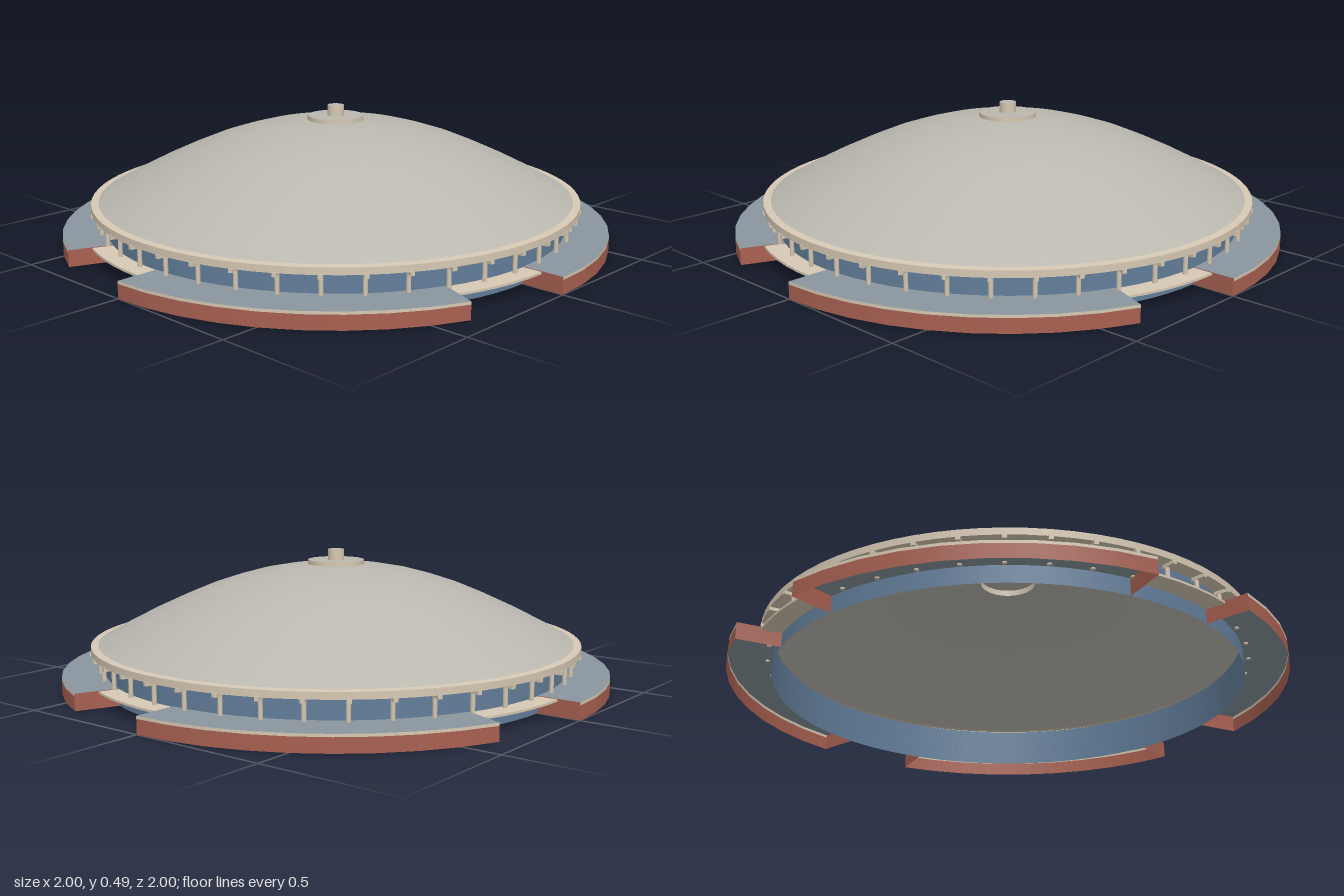
import * as THREE from 'three';

const mat = (name, color) =>
  new THREE.MeshStandardMaterial({ name, color, side: THREE.DoubleSide });

export function createModel() {
  const domeGrey = mat('dome grey', 0xb9b7ae);
  const roofGrey = mat('slate roof', 0x89959e);
  const wallBlue = mat('blue glazing', 0x627e9a);
  const brick = mat('brick red', 0xa86051);
  const cream = mat('cream concrete', 0xd6c8b3);

  const model = new THREE.Group();
  model.name = 'domedArena';

  const add = (name, geometry, material, parent = model) => {
    const mesh = new THREE.Mesh(geometry, material);
    mesh.name = name;
    parent.add(mesh);
    return mesh;
  };

  // Swept strip between two [radius, height] points, over an arc starting at +z
  const band = (name, material, a, b, parent = model, start = 0, arc = Math.PI * 2, segs = 80) =>
    add(name, new THREE.LatheGeometry(
      [new THREE.Vector2(...a), new THREE.Vector2(...b)], segs, start, arc), material, parent);

  const WALL = 0.845, DECK = 0.06, QUARTER = Math.PI / 2, ANNEX = QUARTER * 0.75;

  // Drum wall
  band('drumWall', wallBlue, [WALL, 0], [WALL, 0.14]);

  // Four curved annexes, open underneath, with walkway slabs in the gaps
  for (let i = 0; i < 4; i++) {
    const start = i * QUARTER;
    const annex = new THREE.Group();
    annex.name = 'annex';
    model.add(annex);
    band('annexWall', brick, [1, 0], [1, 0.05], annex, start, ANNEX, 9);
    band('annexTrim', cream, [1, 0.05], [1, DECK], annex, start, ANNEX, 9);
    band('annexRoof', roofGrey, [1, DECK], [WALL, DECK], annex, start, ANNEX, 9);
    for (const phi of [start, start + ANNEX]) {
      const end = add('annexEndWall', new THREE.PlaneGeometry(1 - WALL, DECK), brick, annex);
      const r = (1 + WALL) / 2;
      end.position.set(Math.sin(phi) * r, DECK / 2, Math.cos(phi) * r);
      end.rotation.y = phi - Math.PI / 2;
    }

    const slab = new THREE.Group();
    slab.name = 'walkway';
    model.add(slab);
    const gap = [slab, start + ANNEX, QUARTER - ANNEX, 5];
    band('walkwayTop', cream, [0.917, 0.058], [WALL, 0.058], ...gap);
    band('walkwayEdge', cream, [0.917, 0.05], [0.917, 0.058], ...gap);
    band('walkwayUnderside', cream, [WALL, 0.05], [0.917, 0.05], ...gap);
  }

  // Forty columns with brackets under the eave
  const shaftGeo = new THREE.CylinderGeometry(0.008, 0.008, 0.08, 8);
  const bracketGeo = new THREE.BoxGeometry(0.015, 0.014, 0.05);
  for (let i = 0; i < 40; i++) {
    const column = new THREE.Group();
    column.name = 'column';
    column.rotation.y = (i + 0.5) * Math.PI / 20;
    model.add(column);
    add('columnShaft', shaftGeo, cream, column).position.set(0, 0.095, 0.862);
    add('columnBracket', bracketGeo, cream, column).position.set(0, 0.131, 0.873);
  }

  // Eave ring
  band('eaveUnderside', cream, [WALL, 0.136], [0.895, 0.136]);
  band('eaveFascia', cream, [0.895, 0.136], [0.895, 0.16]);
  band('eaveTop', cream, [0.895, 0.16], [0.868, 0.162]);

  // Dome shell, open at the crown
  const profile = [[0.872, 0.16], [0.78, 0.21], [0.68, 0.261], [0.57, 0.312], [0.47, 0.354],
    [0.38, 0.384], [0.294, 0.408], [0.2, 0.426], [0.103, 0.437]];
  add('dome', new THREE.LatheGeometry(profile.map(p => new THREE.Vector2(...p)), 64), domeGrey);

  // Crown ring and finial, hollow inside
  band('crownRim', cream, [0.103, 0.43], [0.103, 0.452], model, 0, Math.PI * 2, 40);
  band('crownTop', domeGrey, [0.103, 0.452], [0.03, 0.452], model, 0, Math.PI * 2, 40);
  band('finialSide', cream, [0.03, 0.452], [0.03, 0.49], model, 0, Math.PI * 2, 24);
  band('finialCap', domeGrey, [0.03, 0.49], [0, 0.49], model, 0, Math.PI * 2, 24);

  return model;
}
